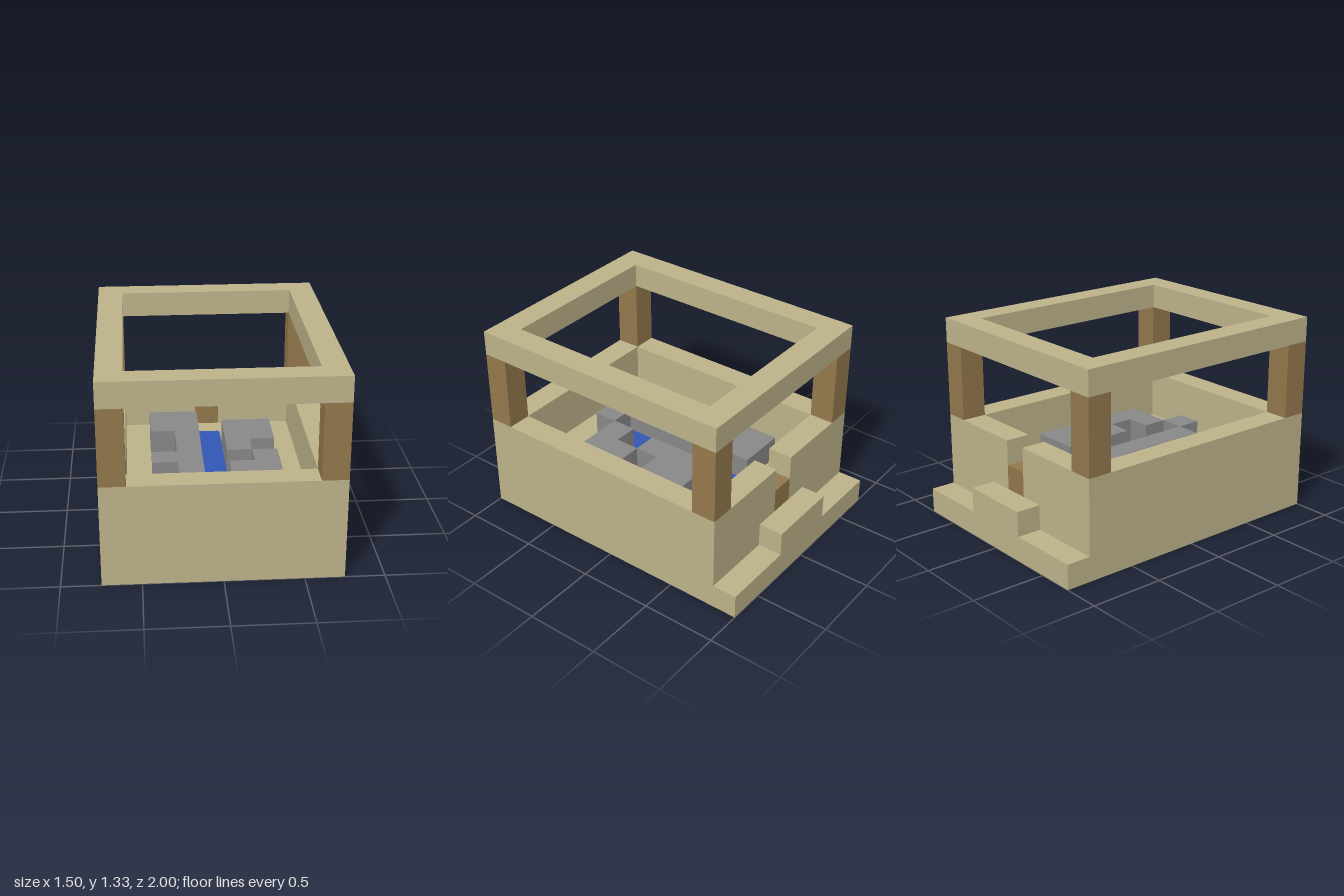
import * as THREE from 'three';

const U = 1 / 6; // one building block

export function createModel() {
  const model = new THREE.Group();
  const mat = (name, color) => {
    const m = new THREE.MeshStandardMaterial({ color });
    m.name = name;
    return m;
  };
  const sand = mat('sandstone', 0xbdb38a);
  const wood = mat('wood', 0x93784c);
  const stone = mat('greyStone', 0x888888);
  const blue = mat('blue', 0x3356b4);

  const add = (name, geometry, material) => {
    const mesh = new THREE.Mesh(geometry, material);
    mesh.name = name;
    model.add(mesh);
    return mesh;
  };
  // Box between two corners, in blocks
  const box = (name, material, x0, x1, y0, y1, z0, z1) => {
    const g = new THREE.BoxGeometry((x1 - x0) * U, (y1 - y0) * U, (z1 - z0) * U);
    g.translate((x0 + x1) / 2 * U, (y0 + y1) / 2 * U, (z0 + z1) / 2 * U);
    return add(name, g, material);
  };
  // Flat plan outline (x, z) extruded from y0 to y1, in blocks
  const slab = (name, material, shape, y0, y1) => {
    const g = new THREE.ExtrudeGeometry(shape, { depth: y1 - y0, bevelEnabled: false, curveSegments: 4 });
    g.rotateX(Math.PI / 2);
    g.translate(0, y1, 0);
    g.scale(U, U, U);
    return add(name, g, material);
  };
  const outline = (pts) => new THREE.Shape(pts.map(([x, z]) => new THREE.Vector2(x, z)));
  const rect = (x, z0, z1) => [[-x, z0], [x, z0], [x, z1], [-x, z1]];

  // Floor and low walls, with a gap in the back wall
  box('floor', sand, -4.5, 4.5, 0, 2, -5, 6);
  const walls = outline([
    [-4.5, -5], [-0.5, -5], [-0.5, -4], [-3.5, -4], [-3.5, 5], [3.5, 5],
    [3.5, -4], [0.5, -4], [0.5, -5], [4.5, -5], [4.5, 6], [-4.5, 6],
  ]);
  slab('walls', sand, walls, 2, 4);
  box('gate', wood, -0.5, 0.5, 2, 3, -5, -4);

  // Steps at the back
  box('lowerStep', sand, -4.5, 4.5, 0, 1, -6, -5);
  box('upperStep', sand, -1.5, 1.5, 1, 2, -6, -5);

  // Corner posts and the open top frame
  for (const x of [-4.5, 3.5])
    for (const z of [-5, 5]) box('cornerPost', wood, x, x + 1, 4, 7, z, z + 1);
  const frame = outline(rect(4.5, -5, 6));
  frame.holes.push(outline(rect(3.5, -4, 5)));
  slab('topFrame', sand, frame, 7, 8);

  // Grey blocks on both sides of the channel
  slab('leftBlocks', stone, outline([
    [-2.5, -3], [-0.5, -3], [-0.5, 3], [-1.5, 3], [-1.5, 2],
    [-2.5, 2], [-2.5, 1], [-1.5, 1], [-1.5, -1], [-2.5, -1],
  ]), 2, 3);
  slab('rightBackBlocks', stone, outline([
    [0.5, -2], [2.5, -2], [2.5, 0], [1.5, 0], [1.5, 1], [0.5, 1],
  ]), 2, 3);
  slab('rightFrontBlocks', stone, outline([
    [1.5, 1], [2.5, 1], [2.5, 3], [0.5, 3], [0.5, 2], [1.5, 2],
  ]), 2, 3);
  box('channelEndBlock', stone, -0.5, 0.5, 2, 3, 3, 4);

  // Blue strip along the channel, rounded at its back corners
  const strip = new THREE.Shape();
  const w = 0.49, r = 0.12;
  strip.moveTo(-w, 3);
  strip.lineTo(-w, -3 + r);
  strip.quadraticCurveTo(-w, -3, -w + r, -3);
  strip.lineTo(w - r, -3);
  strip.quadraticCurveTo(w, -3, w, -3 + r);
  strip.lineTo(w, 3);
  slab('blueStrip', blue, strip, 2, 2.06);

  return model;
}
